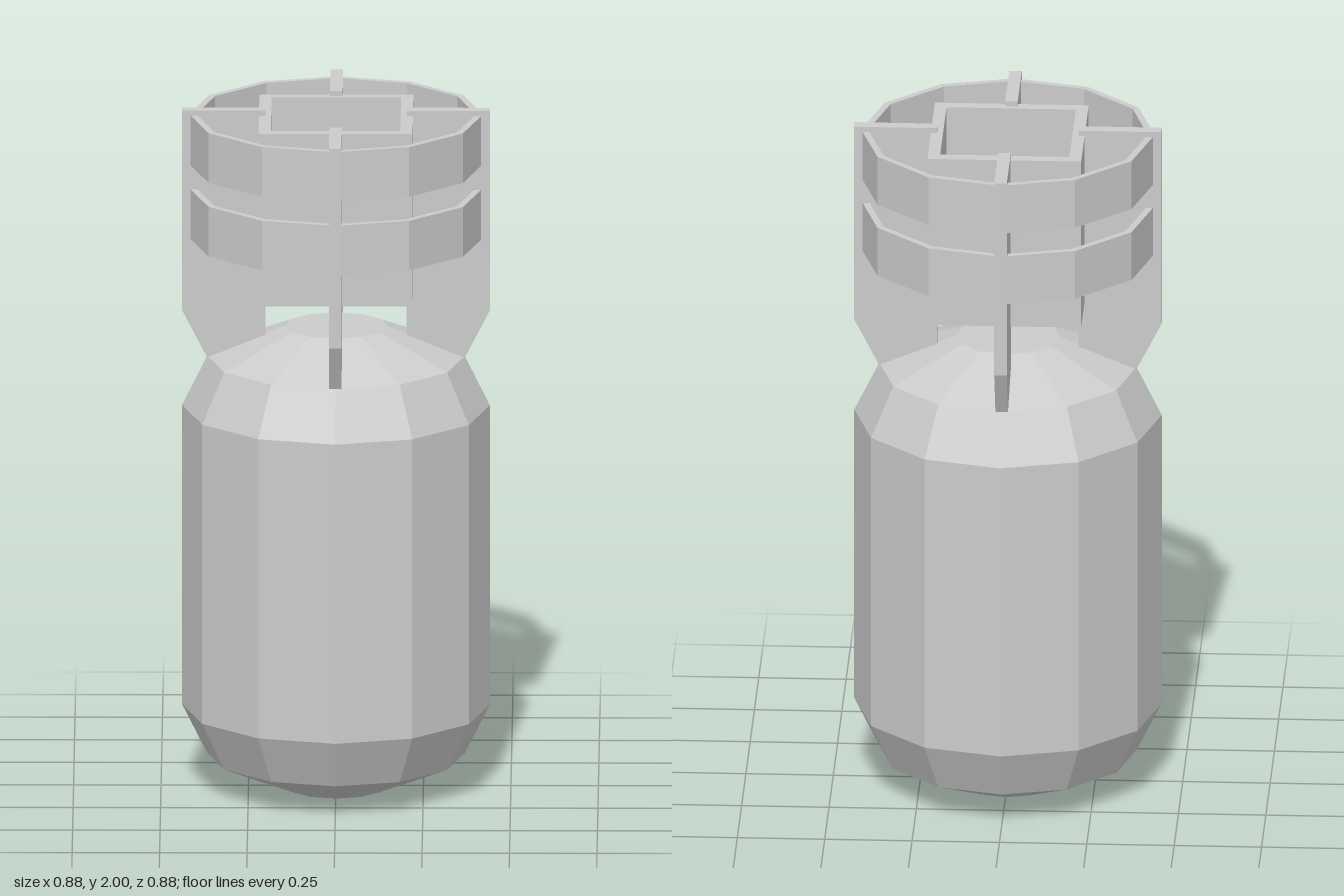
import * as THREE from 'three';

const SIDES = 12;
const material = new THREE.MeshStandardMaterial({ color: 0xcccccc, flatShading: true });
const points = (list) => list.map(([x, y]) => new THREE.Vector2(x, y));

function part(name, geometry) {
  const mesh = new THREE.Mesh(geometry, material);
  mesh.name = name;
  return mesh;
}

function lathe(profile) {
  return new THREE.LatheGeometry(points(profile), SIDES);
}

function square(half) {
  return points([[-half, -half], [half, -half], [half, half], [-half, half]]);
}

export function createModel() {
  const model = new THREE.Group();
  model.name = 'finnedBomb';

  // Faceted body with chamfered ends
  model.add(part('body', lathe([
    [0, 0], [0.147, 0], [0.368, 0.095], [0.44, 0.24],
    [0.44, 1.125], [0.368, 1.27], [0.147, 1.36], [0, 1.36],
  ])));

  // Four tail fins, their feet following the shoulder of the body
  const thickness = 0.036;
  const finShape = new THREE.Shape(points([
    [0.202, 1.338], [0.368, 1.27], [0.44, 1.41], [0.44, 2], [0.202, 2],
  ]));
  const finGeometry = new THREE.ExtrudeGeometry(finShape, { depth: thickness, bevelEnabled: false });
  finGeometry.translate(0, 0, -thickness / 2);
  for (let i = 0; i < 4; i++) {
    const fin = part('tailFin', finGeometry);
    fin.rotation.y = i * Math.PI / 2;
    model.add(fin);
  }

  // Open square tube between the fins
  const tubeShape = new THREE.Shape(square(0.22));
  tubeShape.holes.push(new THREE.Path(square(0.185).reverse()));
  const tubeGeometry = new THREE.ExtrudeGeometry(tubeShape, { depth: 0.51, bevelEnabled: false });
  tubeGeometry.rotateX(-Math.PI / 2);
  const tube = part('squareTube', tubeGeometry);
  tube.position.y = 1.475;
  model.add(tube);

  // Two rings joining the fins
  const outer = 0.42, inner = 0.4, height = 0.147;
  const ringGeometry = lathe([
    [outer, 0], [outer, height], [inner, height], [inner, 0], [outer, 0],
  ]);
  for (const y of [1.62, 1.838]) {
    const ring = part('tailRing', ringGeometry);
    ring.position.y = y;
    model.add(ring);
  }

  return model;
}
